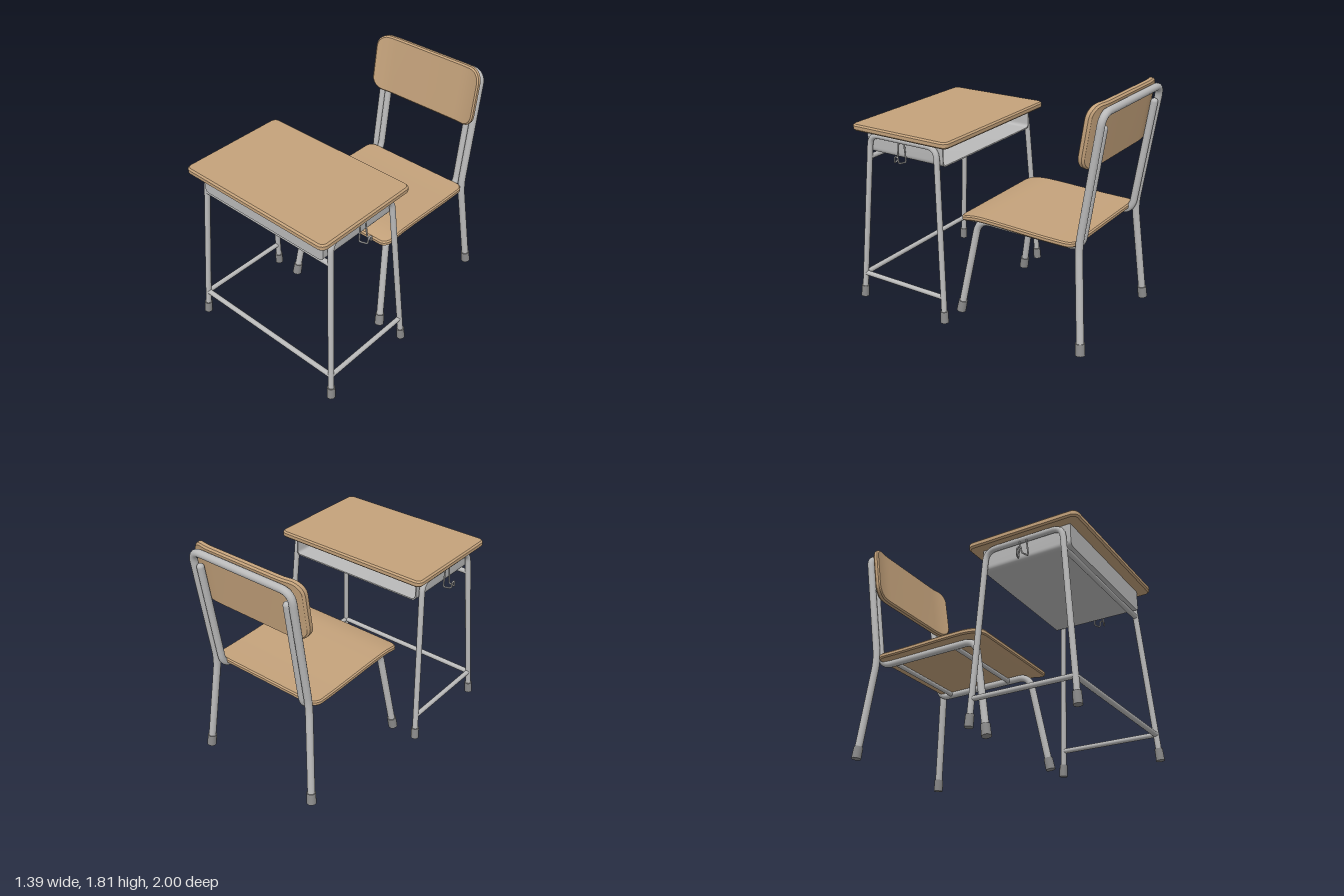
import * as THREE from 'three';
import { toCreasedNormals } from 'three/addons/utils/BufferGeometryUtils.js';

const V = (x, y, z) => new THREE.Vector3(x, y, z);
const mat = (name, color) => Object.assign(new THREE.MeshStandardMaterial({ color }), { name });

// Rounded, bevelled board lofted along z; x is its width, y its thickness.
function board(W, L, t, r, b, bend = () => 0, stops = []) {
  const rows = [], N = 6;
  const row = (w, s, wi, si) => {
    const p = (x, y, z) => V(x, y + bend(z), z);
    rows.push([p(-wi, t, si), p(wi, t, si), p(w, t - b, s), p(w, b - t, s),
      p(wi, -t, si), p(-wi, -t, si), p(-w, b - t, s), p(-w, t - b, s)]);
  };
  const corner = (side, i) => {
    const a = i / N * Math.PI / 2, c = Math.cos(a), n = Math.sin(a);
    row(W - r + r * n, side * (L - r + r * c), W - r + (r - b) * n, side * (L - r + (r - b) * c));
  };
  for (let i = 0; i <= N; i++) corner(-1, i);
  for (const s of stops) row(W, s, W - b, s);
  for (let i = N; i >= 0; i--) corner(1, i);

  const pos = [];
  const quad = (p, q, u, v) => [p, q, u, p, u, v].forEach(k => pos.push(k.x, k.y, k.z));
  for (let i = 0; i + 1 < rows.length; i++) {
    for (let j = 0; j < 8; j++) {
      const k = (j + 1) % 8;
      quad(rows[i][j], rows[i + 1][j], rows[i + 1][k], rows[i][k]);
    }
  }
  const A = rows[0], B = rows[rows.length - 1];
  for (const [i, j, k, l] of [[7, 2, 1, 0], [6, 3, 2, 7], [5, 4, 3, 6]]) {
    quad(B[i], B[j], B[k], B[l]);
    quad(A[l], A[k], A[j], A[i]);
  }
  const g = new THREE.BufferGeometry();
  g.setAttribute('position', new THREE.Float32BufferAttribute(pos, 3));
  return toCreasedNormals(g, 0.6);
}

// Pipe through points, with each inner corner rounded.
function pipe(points, radius, bendSize = 0.1, segments = 90) {
  const path = new THREE.CurvePath();
  let from = points[0];
  for (let i = 1; i < points.length - 1; i++) {
    const p = points[i];
    const a = p.clone().add(points[i - 1].clone().sub(p).setLength(bendSize));
    const c = p.clone().add(points[i + 1].clone().sub(p).setLength(bendSize));
    path.add(new THREE.LineCurve3(from, a));
    path.add(new THREE.QuadraticBezierCurve3(a, p, c));
    from = c;
  }
  path.add(new THREE.LineCurve3(from, points[points.length - 1]));
  return new THREE.TubeGeometry(path, points.length > 2 ? segments : 1, radius, 14);
}

export function createModel() {
  const model = new THREE.Group();
  const wood = mat('wood', 0xc4a27b);
  const metal = mat('metal', 0xbababa);
  const rubber = mat('rubber', 0x8a8a8a);

  const desk = new THREE.Group(), chair = new THREE.Group();
  desk.name = 'desk';
  chair.name = 'chair';
  model.add(desk, chair);
  const add = (parent, name, geometry, material) => {
    const m = new THREE.Mesh(geometry, material);
    m.name = name;
    parent.add(m);
    return m;
  };
  // Foot cap around the lower end of a leg
  const foot = (parent, name, bottom, top, r) => {
    const dir = top.clone().sub(bottom).normalize();
    const m = add(parent, name, new THREE.CylinderGeometry(r * 0.95, r, 0.09, 18), rubber);
    m.quaternion.setFromUnitVectors(V(0, 1, 0), dir);
    m.position.copy(bottom).addScaledVector(dir, 0.045);
  };

  // Desk top
  add(desk, 'deskTop', board(0.66, 0.44, 0.025, 0.05, 0.012), wood).position.set(0, 1.395, 0.56);

  // Storage tray, open towards the chair
  const outline = (w, y0, r, path) => {
    path.moveTo(-w, 1.37);
    path.lineTo(-w, y0 + r);
    path.quadraticCurveTo(-w, y0, -w + r, y0);
    path.lineTo(w - r, y0);
    path.quadraticCurveTo(w, y0, w, y0 + r);
    path.lineTo(w, 1.37);
    return path;
  };
  const trough = outline(0.575, 1.2, 0.04, new THREE.Shape());
  trough.lineTo(0.565, 1.37);
  trough.lineTo(0.565, 1.24);
  trough.quadraticCurveTo(0.565, 1.21, 0.535, 1.21);
  trough.lineTo(-0.535, 1.21);
  trough.quadraticCurveTo(-0.565, 1.21, -0.565, 1.24);
  trough.lineTo(-0.565, 1.37);
  const extrude = (shape, depth) => toCreasedNormals(
    new THREE.ExtrudeGeometry(shape, { depth, bevelEnabled: false, curveSegments: 6 }), 0.6);
  add(desk, 'tray', extrude(trough, 0.69), metal).position.z = 0.21;
  const front = outline(0.575, 1.2, 0.04, new THREE.Shape());
  add(desk, 'trayFront', extrude(front, 0.012), metal).position.z = 0.9;

  // Desk side frames, lower rails, feet and bag hooks
  const deskX = y => 0.667 - 0.052 * y;
  for (const s of [-1, 1]) {
    const side = s > 0 ? 'left' : 'right';
    const a = V(s * deskX(0), 0.006, 0.96), b = V(s * deskX(1.345), 1.345, 0.862);
    const c = V(s * deskX(1.345), 1.345, 0.25), d = V(s * deskX(0), 0.006, 0.167);
    add(desk, side + 'DeskFrame', pipe([a, b, c, d], 0.022, 0.08, 120), metal);
    foot(desk, side + 'DeskFrontFoot', a, b, 0.031);
    foot(desk, side + 'DeskBackFoot', d, c, 0.031);
    const x = s * deskX(0.205);
    add(desk, side + 'LowerRail', pipe([V(x, 0.205, 0.945), V(x, 0.205, 0.18)], 0.019), metal);
    const hx = s * 0.607;
    add(desk, side + 'Hook', pipe([
      V(hx, 1.34, 0.585), V(hx + s * 0.003, 1.195, 0.6), V(s * 0.667, 1.195, 0.58), V(s * 0.67, 1.245, 0.575),
      V(s * 0.67, 1.245, 0.545), V(s * 0.667, 1.195, 0.54), V(hx + s * 0.003, 1.195, 0.52), V(hx, 1.34, 0.535),
    ], 0.006, 0.014, 100), metal);
  }
  for (const [name, y, z] of [['frontLowerRail', 0.205, 0.945], ['frontUpperRail', 1.17, 0.875]]) {
    add(desk, name, pipe([V(-deskX(y), y, z), V(deskX(y), y, z)], 0.02), metal);
  }

  // Seat board with a rolled front edge and shallow dip
  const seatBend = z => {
    const lip = Math.max(0, (z - 0.28) / 0.2);
    return 0.008 * Math.cos((z - 0.32) * 4.5) - 0.028 * lip * lip;
  };
  const seatStops = Array.from({ length: 17 }, (_, i) => -0.4 + i * 0.05);
  add(chair, 'seat', board(0.487, 0.48, 0.02, 0.07, 0.01, seatBend, seatStops), wood)
    .position.set(0, 0.813, -0.33);

  // Backrest with ends curving forward
  const backBend = x => 0.035 * Math.max(0, (Math.abs(x) - 0.3) / 0.19) ** 2;
  const backStops = [-0.37, -0.34, -0.3, 0, 0.3, 0.34, 0.37];
  const backGeometry = board(0.232, 0.49, 0.025, 0.1, 0.012, backBend, backStops);
  backGeometry.applyMatrix4(new THREE.Matrix4().makeBasis(V(0, 1, 0), V(0, 0, 1), V(1, 0, 0)));
  const back = add(chair, 'backrest', backGeometry, wood);
  back.rotation.x = -0.148;
  back.position.set(0, 1.578, -0.895);

  // Rear frame: both back legs and the loop behind the backrest
  const rear = s => [V(s * 0.515, 0.008, -0.905), V(s * 0.445, 0.8, -0.83), V(s * 0.445, 1.755, -0.972)];
  add(chair, 'rearFrame', pipe([...rear(-1), ...rear(1).reverse()], 0.028, 0.09, 240), metal);

  // Seat frames: front leg, seat rail and inner upright
  for (const s of [-1, 1]) {
    const side = s > 0 ? 'left' : 'right';
    const a = V(s * 0.452, 0.008, 0.17), b = V(s * 0.39, 0.775, 0.035);
    const top = V(s * 0.39, 1.64, -0.955);
    add(chair, side + 'SeatFrame', pipe([a, b, V(s * 0.39, 0.765, -0.825), top], 0.027, 0.1, 200), metal);
    add(chair, side + 'UprightEnd', new THREE.SphereGeometry(0.027, 14, 10), metal).position.copy(top);
    foot(chair, side + 'ChairFrontFoot', a, b, 0.036);
    const [p, q] = rear(s);
    foot(chair, side + 'ChairBackFoot', p, q, 0.036);
  }

  // Cross bars under the seat
  for (const z of [-0.15, -0.7]) {
    add(chair, 'seatCrossBar', pipe([V(-0.39, 0.768, z), V(0.39, 0.768, z)], 0.018), metal);
  }
  return model;
}
